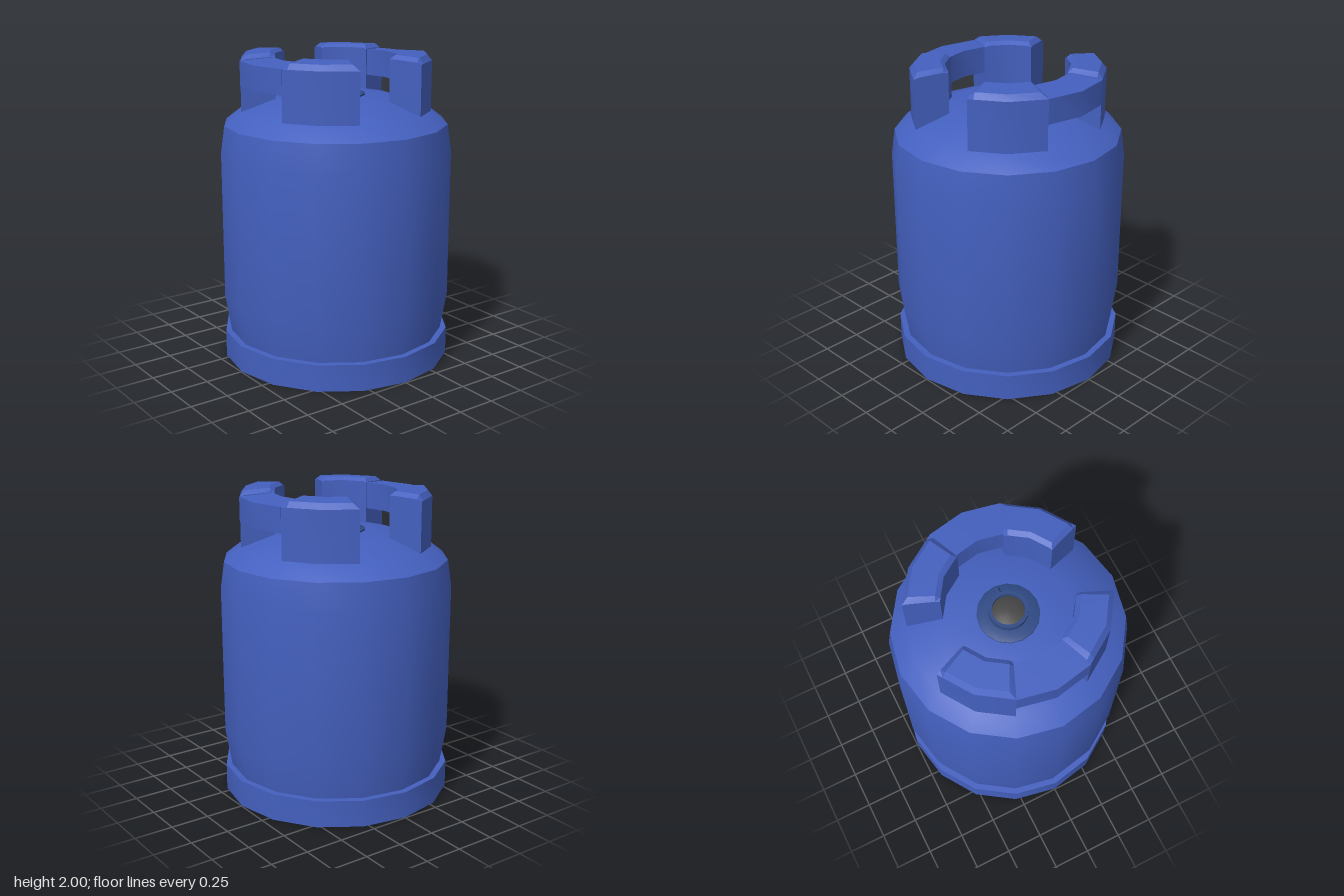
import * as THREE from 'three';
import { toCreasedNormals } from 'three/addons/utils/BufferGeometryUtils.js';

const SIDES = 16;
const STEP = (Math.PI * 2) / SIDES;

// Lathe from [radius, height] pairs, with hard edges kept sharp
function lathe(points, sides = SIDES) {
  const geo = new THREE.LatheGeometry(points.map(([r, y]) => new THREE.Vector2(r, y)), sides);
  return toCreasedNormals(geo, 0.5);
}

// Sweep closed [radius, height] sections around the y axis, capped at both ends
function arcSweep(sections) {
  const rings = sections.map(({ angle, profile }) => profile.map(([r, y]) =>
    [r * Math.cos(angle), y, r * Math.sin(angle)]));
  const pos = [];
  const tri = (a, b, c) => pos.push(...a, ...b, ...c);
  const n = rings[0].length;
  for (let s = 0; s < rings.length - 1; s++) {
    const p = rings[s], q = rings[s + 1];
    for (let i = 0; i < n; i++) {
      const j = (i + 1) % n;
      tri(p[i], p[j], q[j]);
      tri(p[i], q[j], q[i]);
    }
  }
  const first = rings[0], last = rings[rings.length - 1];
  for (let i = 1; i < n - 1; i++) {
    tri(first[0], first[i + 1], first[i]);
    tri(last[0], last[i], last[i + 1]);
  }
  const geo = new THREE.BufferGeometry();
  geo.setAttribute('position', new THREE.Float32BufferAttribute(pos, 3));
  return toCreasedNormals(geo, 0.42);
}

export function createModel() {
  const group = new THREE.Group();
  const make = (color, name) => {
    const m = new THREE.MeshStandardMaterial({ color });
    m.name = name;
    return m;
  };
  const blue = make(0x4460bf, 'blue paint');
  const darkBlue = make(0x2f4a85, 'dark blue metal');
  const grey = make(0x484848, 'dark grey');

  const add = (name, geo, mat, parent = group) => {
    const mesh = new THREE.Mesh(geo, mat);
    mesh.name = name;
    parent.add(mesh);
    return mesh;
  };

  // Tank with foot ring, domed top and hollow underside
  add('tank', lathe([
    [0, 0.29], [0.16, 0.24], [0.745, 0], [0.745, 0.175], [0.705, 0.175],
    [0.745, 0.42], [0.745, 1.38], [0.72, 1.55], [0.61, 1.635],
    [0.39, 1.71], [0.19, 1.725], [0, 1.725],
  ]), blue);

  // Carrying collar: four legs joined in pairs by a grip on each side
  const collar = new THREE.Group();
  collar.name = 'carryingCollar';
  group.add(collar);

  const legSection = (angle, end, k = 1) => ({
    angle,
    profile: [
      [0.61, 1.6], [0.61, 1.955], [0.58, end ? 1.965 : 1.99],
      [0.42, end ? 1.975 : 2], [0.39, end ? 1.97 : 1.98], [0.39, 1.6],
    ].map(([r, y]) => [r * k, y]),
  });
  const inset = 0.06;
  const chord = Math.cos(STEP / 2) / Math.cos(STEP / 2 - inset);
  const legGeo = arcSweep([
    legSection(-STEP, true), legSection(-STEP + inset, false, chord),
    legSection(0, false),
    legSection(STEP - inset, false, chord), legSection(STEP, true),
  ]);
  for (let i = 0; i < 4; i++) {
    add('collarLeg', legGeo, blue, collar).rotation.y = Math.PI / 4 + (i * Math.PI) / 2;
  }

  const gripGeo = arcSweep([-1, 0, 1].map((k) => ({
    angle: k * STEP,
    profile: [[0.613, 1.8], [0.613, 1.957], [0.4, 1.972], [0.4, 1.8]],
  })));
  for (const turn of [0, Math.PI]) add('collarGrip', gripGeo, blue, collar).rotation.y = turn;

  // Valve in the middle of the dome
  const valve = new THREE.Group();
  valve.name = 'valve';
  group.add(valve);
  add('valveFlange', lathe([[0.19, 1.7], [0.19, 1.735], [0.15, 1.75], [0.1, 1.75]]), darkBlue, valve);
  add('valveRing', lathe([
    [0.105, 1.74], [0.12, 1.755], [0.12, 1.79], [0.098, 1.79], [0.098, 1.74],
  ]), darkBlue, valve);
  add('valveSeal', lathe([[0.098, 1.765], [0.06, 1.782], [0, 1.787]]), grey, valve);

  // Small pin on the valve's left side
  const pin = add('valvePin', new THREE.CylinderGeometry(0.016, 0.016, 0.05, 8), darkBlue, valve);
  pin.rotation.z = Math.PI / 2;
  pin.position.set(0.13, 1.768, 0);
  const head = add('pinHead', new THREE.CylinderGeometry(0.02, 0.02, 0.012, 8), darkBlue, valve);
  head.rotation.z = Math.PI / 2;
  head.position.set(0.15, 1.768, 0);

  return group;
}
